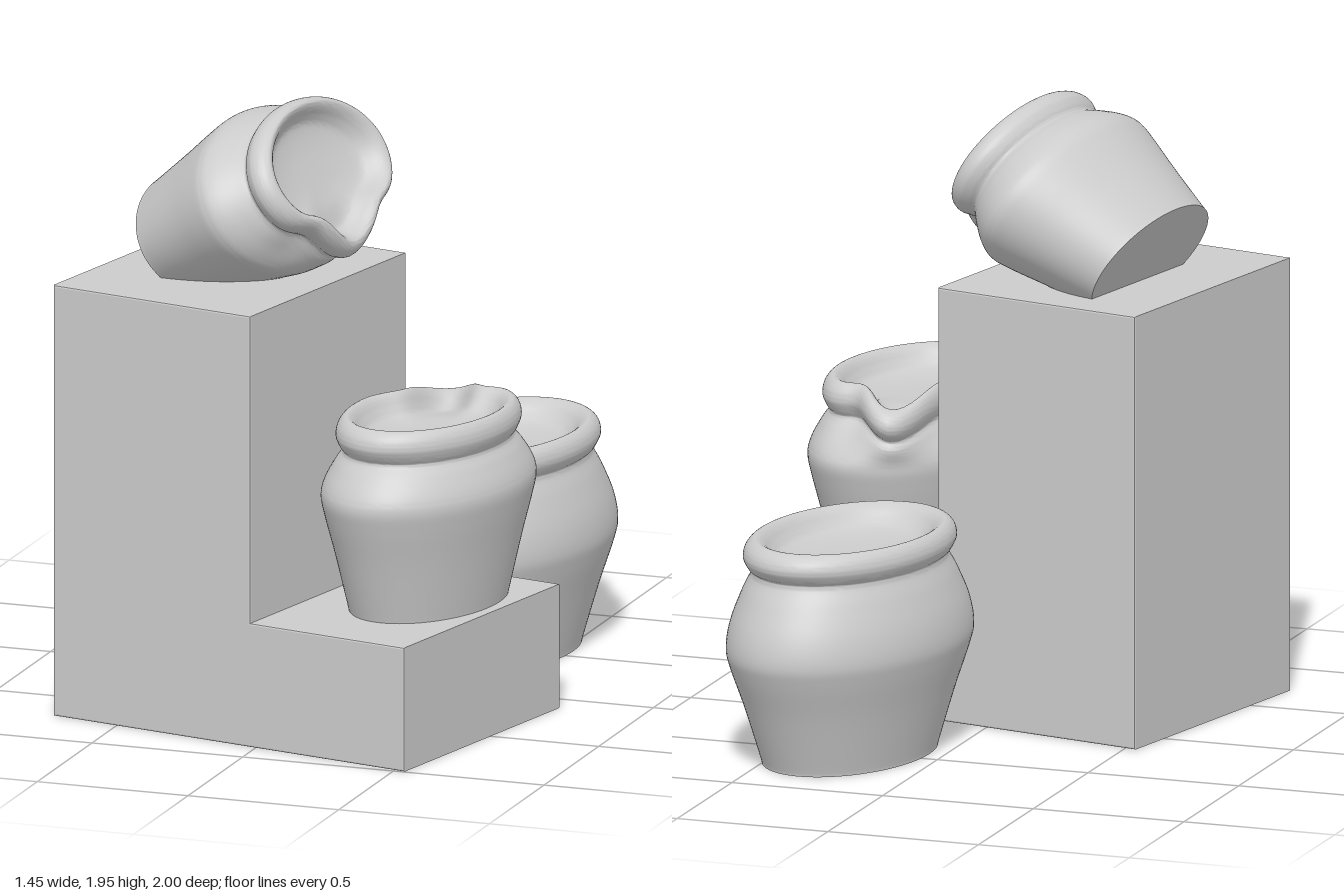
import * as THREE from 'three';
import { mergeVertices, toCreasedNormals } from 'three/addons/utils/BufferGeometryUtils.js';

const TURN = -THREE.MathUtils.degToRad(12);
const material = new THREE.MeshStandardMaterial({ color: 0xcccccc });

// Stepped plinth: an L profile extruded front to back
function makePlinth() {
  const depth = 0.92, bevel = 0.006;
  const shape = new THREE.Shape([
    [-0.645, 0], [0.645, 0], [0.645, 0.4], [0.08, 0.4], [0.08, 1.39], [-0.645, 1.39],
  ].map(([x, y]) => new THREE.Vector2(x, y)));
  const geo = new THREE.ExtrudeGeometry(shape, {
    depth: depth - 2 * bevel, bevelSize: bevel, bevelThickness: bevel, bevelOffset: -bevel, bevelSegments: 2,
  });
  geo.translate(0, 0, -depth / 2 + bevel);
  const mesh = new THREE.Mesh(geo, material);
  mesh.name = 'steppedPlinth';
  mesh.position.set(0, 0, 0.415);
  mesh.rotation.y = TURN;
  return mesh;
}

// Oval pot: lathe of unit belly radius, its rim pulled into a spout, then stretched
function makePot({ name, base, belly, neck, top, width, depth, spout = 0, spoutAngle = 0, position, tilt = 0 }) {
  const rim = top - neck;
  const wall = new THREE.SplineCurve([
    [base, 0], [base + 0.02, 0.03], [base + (1 - base) * 0.5, belly * 0.5], [0.965, belly * 0.83],
    [1, belly], [0.965, belly + (neck - belly) * 0.35], [0.87, belly + (neck - belly) * 0.75],
    [0.795, neck], [0.825, neck + rim * 0.18], [0.862, neck + rim * 0.48], [0.84, neck + rim * 0.8],
    [0.77, top], [0.7, top - rim * 0.12], [0.63, top - rim * 0.4], [0.54, top - rim * 0.62],
    [0.3, top - rim * 0.75], [0, top - rim * 0.78],
  ].map(([r, y]) => new THREE.Vector2(r, y)));
  const points = [new THREE.Vector2(0, 0), ...wall.getPoints(90)];
  points[points.length - 1].x = 0;
  let geo = new THREE.LatheGeometry(points, 96);

  const pos = geo.attributes.position;
  for (let i = 0; i < pos.count; i++) {
    let x = pos.getX(i), y = pos.getY(i), z = pos.getZ(i);
    const r = Math.hypot(x, z);
    const turn = Math.atan2(z, x) - spoutAngle;
    const d = Math.abs(Math.atan2(Math.sin(turn), Math.cos(turn)));
    // lip goes outward, its flanks pinch inward, and the tip droops
    const lip = Math.exp(-((d / 0.3) ** 2));
    const pinch = Math.exp(-(((d - 0.62) / 0.25) ** 2));
    const w = THREE.MathUtils.smoothstep(y, belly, neck + rim * 0.3);
    const f = 1 + w * spout * (lip - 0.35 * pinch);
    y -= 0.16 * spout * w * lip * THREE.MathUtils.smoothstep(r, 0.3, 0.75);
    pos.setXYZ(i, x * f * width, y, z * f * depth);
  }
  geo.deleteAttribute('uv');
  geo.deleteAttribute('normal');
  geo = toCreasedNormals(mergeVertices(geo, 1e-5), 0.8);

  const mesh = new THREE.Mesh(geo, material);
  mesh.name = name;
  mesh.position.set(...position);
  mesh.rotation.set(0, TURN, tilt);
  return mesh;
}

export function createModel() {
  const group = new THREE.Group();
  group.name = 'potsOnPlinth';
  group.add(
    makePlinth(),
    // Large plain pot on the ground
    makePot({
      name: 'groundPot', base: 0.71, belly: 0.38, neck: 0.615, top: 0.72,
      width: 0.33, depth: 0.506, position: [0.29, 0, -0.5],
    }),
    // Spouted pot on the low step
    makePot({
      name: 'stepPot', base: 0.74, belly: 0.38, neck: 0.515, top: 0.625,
      width: 0.287, depth: 0.44, spout: 0.3, spoutAngle: -2.13, position: [0.405, 0.398, 0.415],
    }),
    // Spouted pot tipped over on the tall block
    makePot({
      name: 'tippedPot', base: 0.74, belly: 0.355, neck: 0.48, top: 0.58,
      width: 0.27, depth: 0.41, spout: 0.22, spoutAngle: 0,
      position: [-0.43, 1.47, 0.26], tilt: -Math.PI / 3,
    }),
  );
  return group;
}
